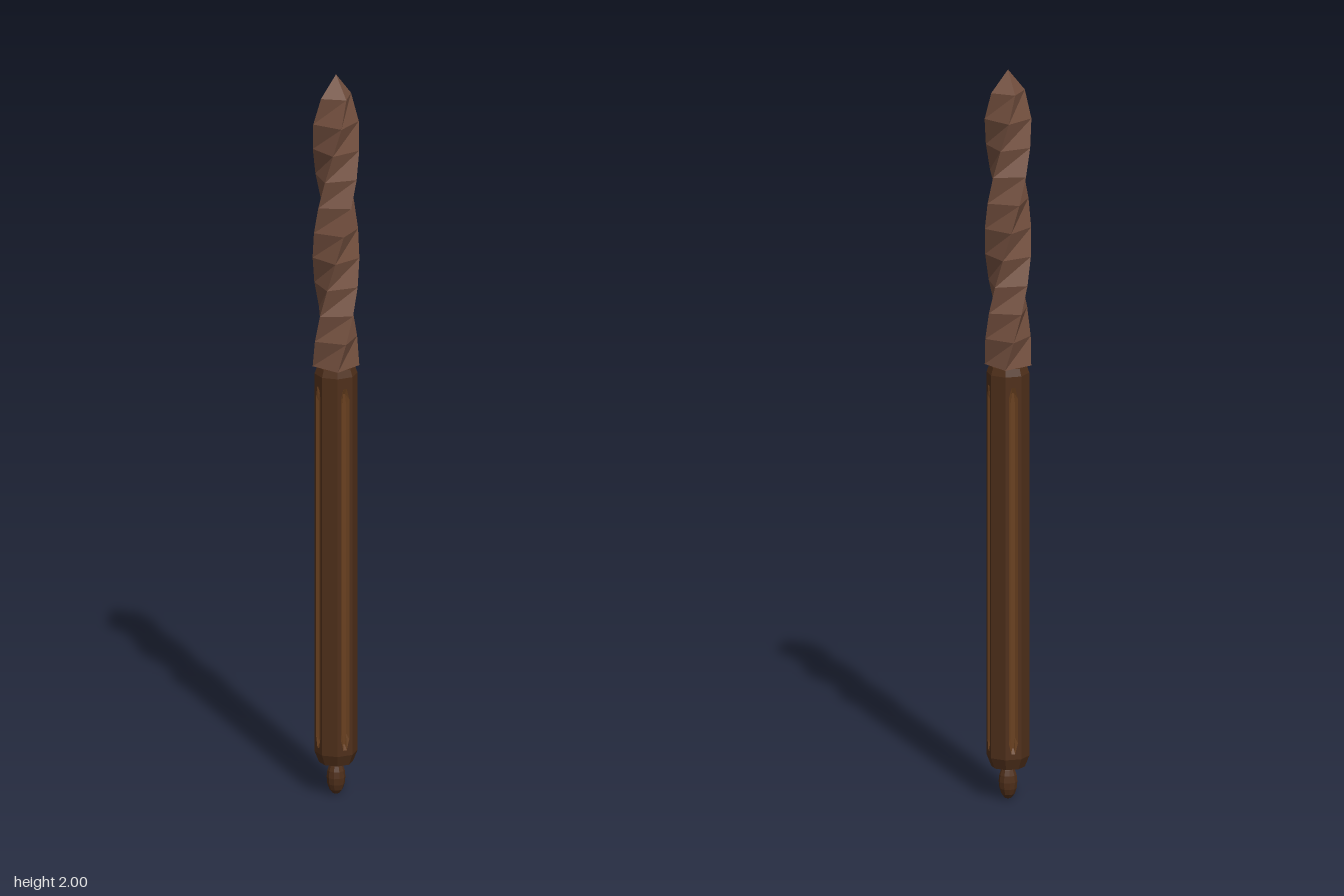
import * as THREE from 'three';

const mat = (name, color) => {
  const m = new THREE.MeshStandardMaterial({ color, flatShading: true });
  m.name = name;
  return m;
};

export function createModel() {
  const darkWood = mat('dark wood', 0x4f2f1a);
  const inlayWood = mat('inlay wood', 0x69401f);
  const shaftWood = mat('shaft wood', 0x74503f);

  const root = new THREE.Group();
  const add = (parent, geometry, material, name) => {
    const mesh = new THREE.Mesh(geometry, material);
    mesh.name = name;
    parent.add(mesh);
    return mesh;
  };

  // Twisted square shaft, tapering at its last step
  const y0 = 1.19, y1 = 1.94, turn = Math.PI * 7 / 6, steps = 10;
  const shaft = new THREE.CylinderGeometry(0.062, 0.062, y1 - y0, 4, steps);
  shaft.translate(0, (y0 + y1) / 2, 0);
  const p = shaft.attributes.position;
  const v = new THREE.Vector3(), up = new THREE.Vector3(0, 1, 0);
  for (let i = 0; i < p.count; i++) {
    v.fromBufferAttribute(p, i);
    const t = (v.y - y0) / (y1 - y0);
    const s = t > 0.99 ? 0.78 : 1;
    v.x *= s;
    v.z *= s;
    v.applyAxisAngle(up, t * turn);
    p.setXYZ(i, v.x, v.y, v.z);
  }
  shaft.computeVertexNormals();
  add(root, shaft, shaftWood, 'twistedShaft');

  // Four-sided point
  const tip = new THREE.ConeGeometry(0.062 * 0.78, 2 - y1, 4, 1, true);
  tip.rotateY(turn).translate(0, (2 + y1) / 2, 0);
  add(root, tip, shaftWood, 'tip');

  // Eight-sided handle: every other face has a long groove
  const handle = new THREE.Group();
  handle.name = 'handle';
  root.add(handle);
  const R = 0.057, low = 0.12, high = 1.17;
  const apothem = R * Math.cos(Math.PI / 8), half = R * Math.sin(Math.PI / 8);

  // Long outline with narrowed ends
  const outline = (w, a, b) => [
    [-w * 0.4, a], [w * 0.4, a], [w, a + 0.03], [w, b - 0.03], [w * 0.4, b], [-w * 0.4, b],
    [-w, b - 0.03], [-w, a + 0.03],
  ].map(([x, y]) => new THREE.Vector2(x, y));
  const rim = outline(0.0125, 0.135, 1.14);
  const bed = outline(0.006, 0.15, 1.125);
  const depth = 0.006;

  // Sloping groove walls from rim to bed
  const wallPoints = [];
  rim.forEach((a, i) => {
    const j = (i + 1) % rim.length, b = rim[j], c = bed[j], d = bed[i];
    wallPoints.push(a.x, a.y, 0, b.x, b.y, 0, c.x, c.y, -depth);
    wallPoints.push(a.x, a.y, 0, c.x, c.y, -depth, d.x, d.y, -depth);
  });
  const walls = new THREE.BufferGeometry();
  walls.setAttribute('position', new THREE.Float32BufferAttribute(wallPoints, 3));
  walls.computeVertexNormals();

  for (let k = 0; k < 8; k++) {
    const side = new THREE.Group();
    side.name = k % 2 ? 'plainSide' : 'groovedSide';
    side.rotation.y = (k + 0.5) * Math.PI / 4;
    handle.add(side);
    const face = new THREE.Shape([
      new THREE.Vector2(-half, low), new THREE.Vector2(half, low),
      new THREE.Vector2(half, high), new THREE.Vector2(-half, high),
    ]);
    if (k % 2 === 0) {
      face.holes.push(new THREE.Path(rim));
      add(side, walls, inlayWood, 'grooveWalls').position.z = apothem;
      add(side, new THREE.ShapeGeometry(new THREE.Shape(bed)), inlayWood, 'grooveBed')
        .position.z = apothem - depth;
    }
    add(side, new THREE.ShapeGeometry(face), darkWood, 'handleFace').position.z = apothem;
  }

  // Bevelled handle ends
  const top = new THREE.CylinderGeometry(0.05, R, 0.02, 8);
  add(handle, top.translate(0, high + 0.01, 0), darkWood, 'topBevel');
  const bottom = new THREE.CylinderGeometry(R, 0.045, 0.03, 8);
  add(handle, bottom.translate(0, low - 0.015, 0), darkWood, 'bottomBevel');

  // Egg-shaped pommel
  const knob = new THREE.SphereGeometry(1, 10, 8);
  knob.scale(0.025, 0.048, 0.025).translate(0, 0.048, 0);
  add(root, knob, darkWood, 'pommel');

  return root;
}
